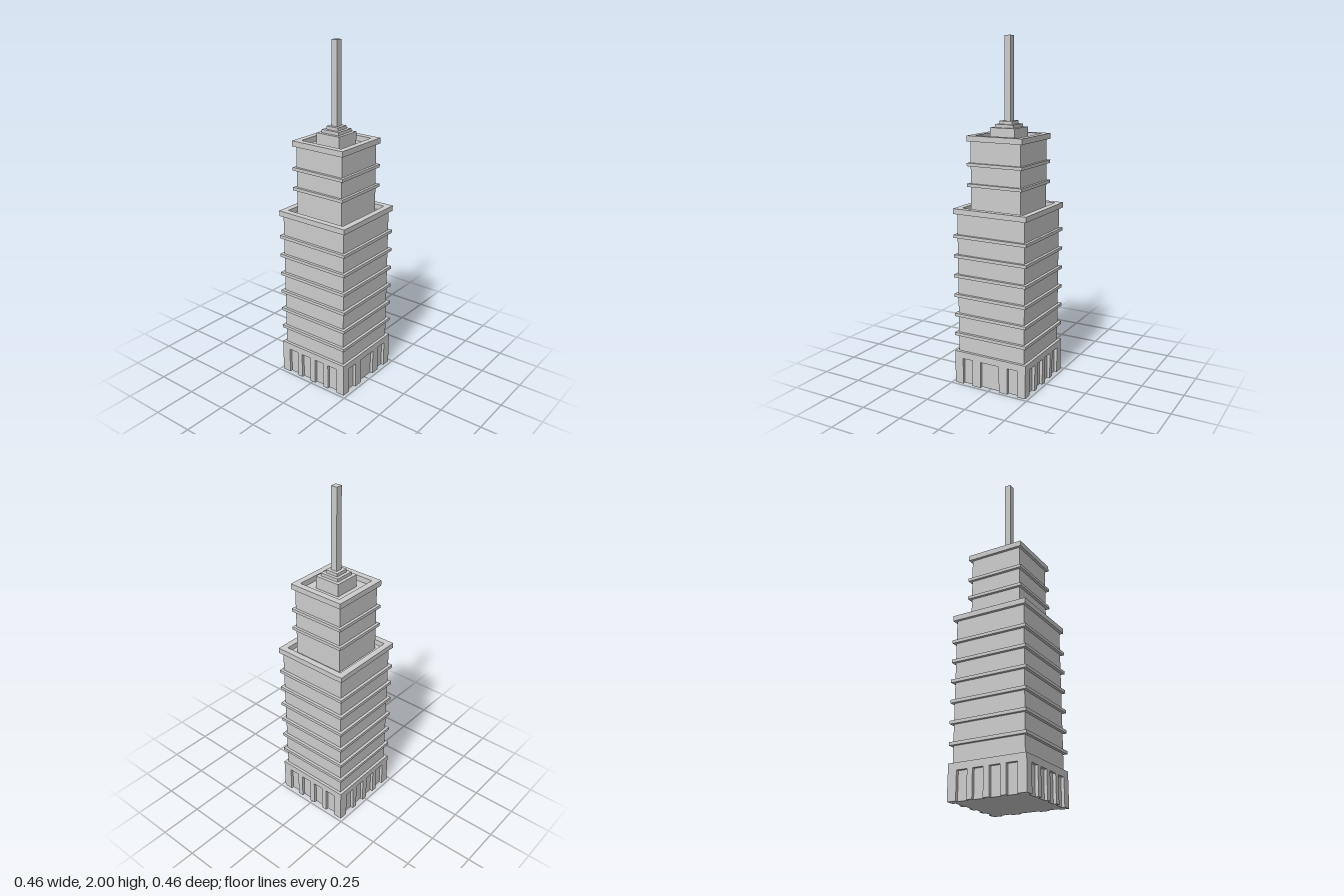
import * as THREE from 'three';

const stone = new THREE.MeshStandardMaterial({ color: 0xcccccc });
stone.name = 'pale grey stone';

export function createModel() {
  const model = new THREE.Group();
  model.name = 'tower';

  const add = (name, geometry, y = 0) => {
    const mesh = new THREE.Mesh(geometry, stone);
    mesh.name = name;
    mesh.position.y = y;
    model.add(mesh);
  };

  // Square block given by its half width and its bottom and top heights
  const block = (name, half, y0, y1) =>
    add(name, new THREE.BoxGeometry(half * 2, y1 - y0, half * 2), (y0 + y1) / 2);

  // Vertical extrusion of a plan shape
  const extrudeUp = (shape, height) =>
    new THREE.ExtrudeGeometry(shape, { depth: height, bevelEnabled: false }).rotateX(-Math.PI / 2);

  const square = (h, Type) =>
    new Type([[-h, -h], [h, -h], [h, h], [-h, h]].map(([x, y]) => new THREE.Vector2(x, y)));

  // Open parapet frame around a flat roof
  const parapet = (name, outer, inner, y0, y1) => {
    const shape = square(outer, THREE.Shape);
    shape.holes.push(square(inner, THREE.Path));
    add(name, extrudeUp(shape, y1 - y0), y0);
  };

  // Base: plan with recessed bays, listed as [centre, width] for each side
  const half = 0.232, recess = 0.018;
  const frontBays = [[-0.147, 0.064], [0, 0.122], [0.147, 0.064]];
  const sideBays = [[-0.147, 0.064], [-0.05, 0.064], [0.05, 0.064], [0.147, 0.064]];
  const plan = [];
  [frontBays, sideBays, sideBays, sideBays].forEach((bays, side) => {
    const put = (x, y) =>
      plan.push(new THREE.Vector2(x, y).rotateAround(new THREE.Vector2(), side * Math.PI / 2));
    put(-half, -half);
    for (const [centre, width] of bays) {
      const a = centre - width / 2, b = centre + width / 2;
      put(a, -half);
      put(a, -half + recess);
      put(b, -half + recess);
      put(b, -half);
    }
  });
  add('baseWithBays', extrudeUp(new THREE.Shape(plan), 0.158));
  block('baseBand', half, 0.158, 0.198);

  // Main shaft with its floor ledges
  block('mainShaft', 0.215, 0.198, 1.018);
  for (let i = 0; i < 6; i++) {
    const y = 0.303 + i * 0.1172;
    block('mainLedge', half, y - 0.009, y + 0.009);
  }
  parapet('mainParapet', half, 0.195, 1.018, 1.049);

  // Upper shaft
  block('upperShaft', 0.158, 1.018, 1.425);
  for (const y of [1.178, 1.295]) block('upperLedge', 0.174, y - 0.009, y + 0.009);
  parapet('upperParapet', 0.174, 0.137, 1.425, 1.457);

  // Stepped pedestal and mast
  block('pedestal', 0.078, 1.425, 1.498);
  block('pedestalStep', 0.058, 1.498, 1.516);
  block('pedestalTop', 0.039, 1.516, 1.534);
  block('mast', 0.0195, 1.534, 2);

  return model;
}
